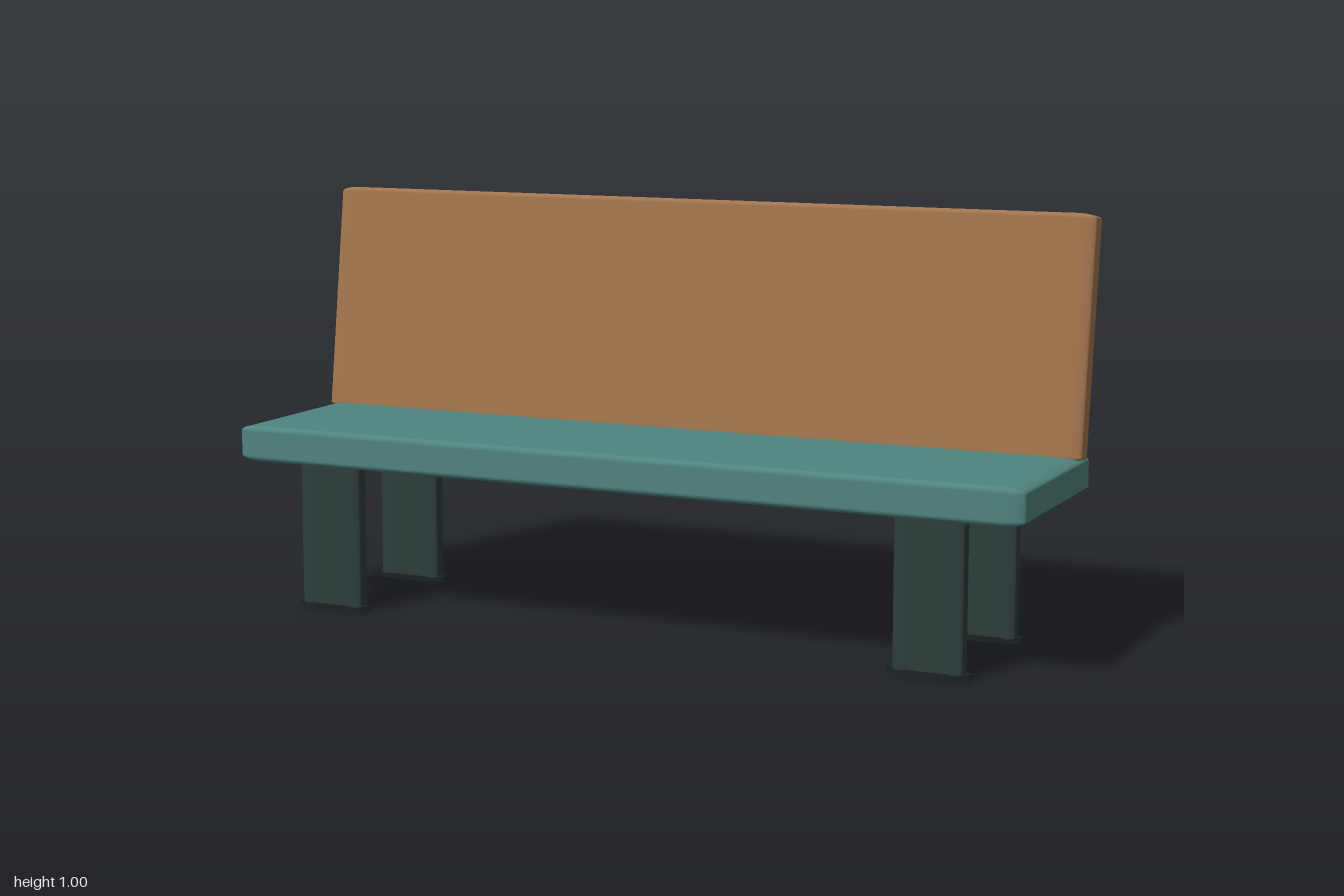
import * as THREE from 'three';
import { RoundedBoxGeometry } from 'three/addons/geometries/RoundedBoxGeometry.js';

// Everything is stretched lengthwise, so rounded corners are longer along x
const STRETCH = 3.75;

function material(name, color) {
  const m = new THREE.MeshStandardMaterial({ color });
  m.name = name;
  return m;
}

function roundedPart(name, width, height, depth, radius, mat) {
  const geometry = new RoundedBoxGeometry(width / STRETCH, height, depth, 4, radius);
  geometry.scale(STRETCH, 1, 1);
  const mesh = new THREE.Mesh(geometry, mat);
  mesh.name = name;
  return mesh;
}

export function createModel() {
  const teal = material('teal seat', 0x50847e);
  const wood = material('brown backrest', 0xa1744d);
  const iron = material('dark leg', 0x2e3d3b);
  const rubber = material('black foot', 0x1c2323);

  const bench = new THREE.Group();
  bench.name = 'bench';

  // Seat slab
  const seat = roundedPart('seat', 2, 0.088, 0.497, 0.014, teal);
  seat.position.set(0, 0.404, 0.0285);
  bench.add(seat);

  // Backrest leaning backwards, standing on the seat
  const backrest = roundedPart('backrest', 2.001, 0.568, 0.062, 0.012, wood);
  backrest.position.set(0, 0.715, -0.2045);
  backrest.rotation.x = THREE.MathUtils.degToRad(-7.9);
  bench.add(backrest);

  // Four flat legs on oval feet
  const footGeometry = new THREE.CylinderGeometry(0.0265, 0.0265, 0.013, 16);
  footGeometry.scale(STRETCH, 1, 1);
  for (const [side, x] of [['left', 0.77], ['right', -0.77]]) {
    for (const [end, z] of [['Front', 0.215], ['Back', -0.158]]) {
      const leg = new THREE.Group();
      leg.name = `${side}${end}Leg`;
      leg.position.set(x, 0, z);

      const post = roundedPart('post', 0.164, 0.375, 0.043, 0.008, iron);
      post.position.y = 0.1925;
      const foot = new THREE.Mesh(footGeometry, rubber);
      foot.name = 'foot';
      foot.position.y = 0.0065;

      leg.add(post, foot);
      bench.add(leg);
    }
  }
  return bench;
}
